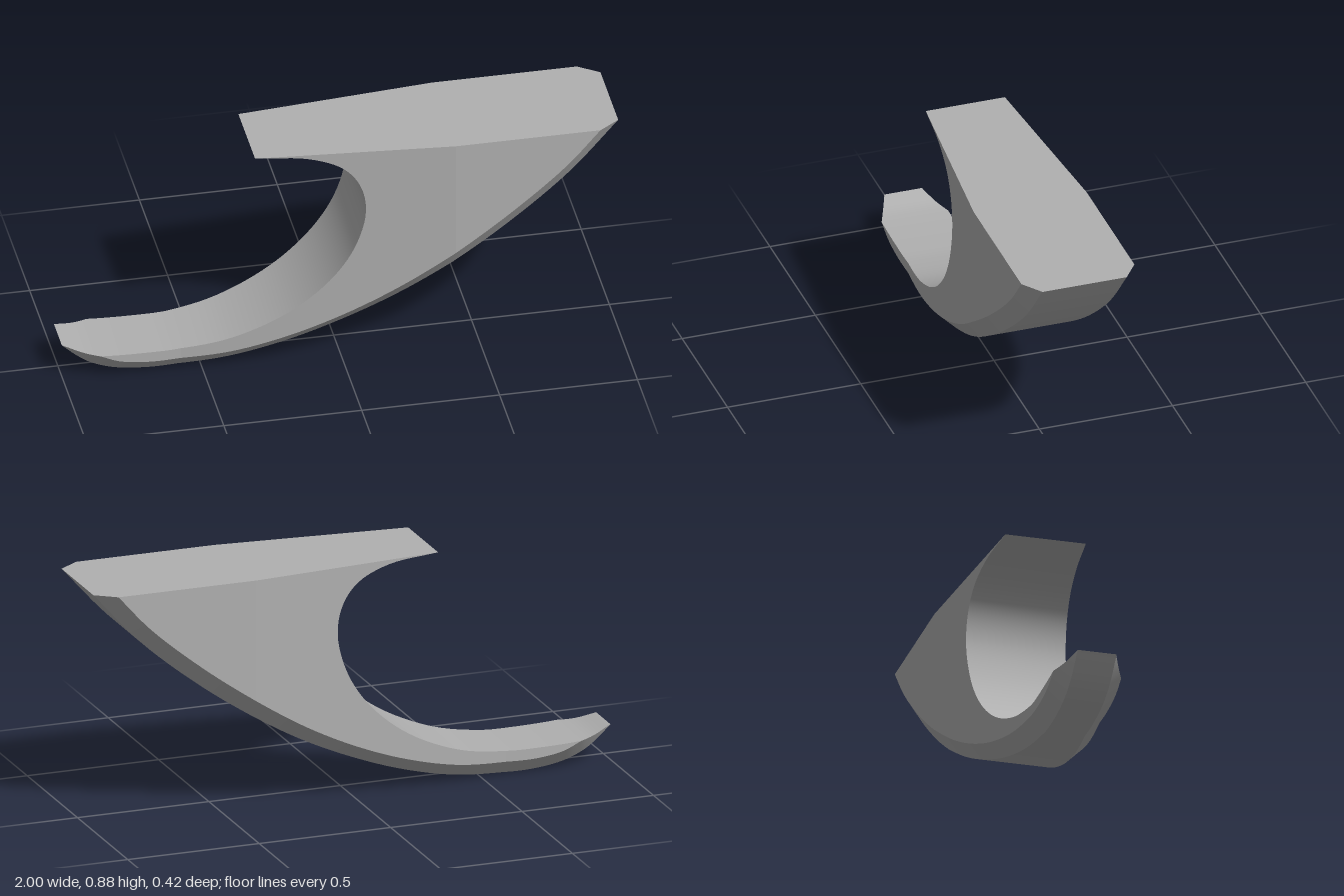
import * as THREE from 'three';

const STEPS = 6;   // samples per control segment
const TOP = 0.883; // height of the flat top

// Smooth curve through [x, y] points, keeping every control point as a sample
function sample(points) {
  const curve = new THREE.CatmullRomCurve3(points.map(([x, y]) => new THREE.Vector3(x, y, 0)), false, 'centripetal');
  return curve.getPoints((points.length - 1) * STEPS);
}

// Half width of the body along x, with the nose tapering in
function halfWidth(x) {
  if (x < -0.87) return THREE.MathUtils.mapLinear(x, -1, -0.87, 0.07, 0.125);
  return THREE.MathUtils.lerp(0.125, 0.212, THREE.MathUtils.clamp((x + 0.58) / 0.98, 0, 1));
}
const soleHalfWidth = (x) => THREE.MathUtils.lerp(0.072, 0.158, THREE.MathUtils.clamp((x + 0.58) / 0.98, 0, 1));

// Surface between two rows of points
function strip(a, b) {
  const position = [], index = [];
  a.forEach((p, i) => {
    position.push(p.x, p.y, p.z, b[i].x, b[i].y, b[i].z);
    if (i) {
      const k = 2 * i;
      index.push(k - 2, k, k + 1, k - 2, k + 1, k - 1);
    }
  });
  const g = new THREE.BufferGeometry();
  g.setAttribute('position', new THREE.Float32BufferAttribute(position, 3));
  g.setIndex(index);
  g.computeVertexNormals();
  return g;
}

// Flat wall piece, pushed out to the body width on one side
function wall(outline, side) {
  const g = new THREE.ShapeGeometry(new THREE.Shape(outline.map((p) => new THREE.Vector2(p.x, p.y))));
  const p = g.attributes.position;
  for (let i = 0; i < p.count; i++) p.setZ(i, side * halfWidth(p.getX(i)));
  if (side < 0) g.setIndex(Array.from(g.index.array).reverse());
  g.computeVertexNormals();
  return g;
}

export function createModel() {
  const group = new THREE.Group();
  group.name = 'hookedBracket';
  const grey = new THREE.MeshStandardMaterial({ color: 0xb0b0b0, side: THREE.DoubleSide });
  grey.name = 'grey';
  const add = (name, geometry) => {
    const mesh = new THREE.Mesh(geometry, grey);
    mesh.name = name;
    group.add(mesh);
  };

  // Profile curves, from the nose to the top
  const inner = sample([[-1, 0.132], [-0.93, 0.11], [-0.87, 0.102], [-0.7, 0.096], [-0.58, 0.099], [-0.4, 0.13],
    [-0.2, 0.22], [-0.05, 0.345], [0.04, 0.48], [0.08, 0.63], [0.06, 0.74], [0, 0.816], [-0.12, 0.866], [-0.315, TOP]]);
  const edge = sample([[-0.87, 0.102], [-0.8, 0.072], [-0.7, 0.057], [-0.58, 0.058], [-0.4, 0.073], [-0.2, 0.123],
    [0, 0.2], [0.2, 0.302], [0.4, 0.43], [0.6, 0.575], [0.8, 0.745], [0.925, TOP]]);
  const sole = sample([[-1, 0.132], [-0.95, 0.086], [-0.9, 0.05], [-0.82, 0.018], [-0.7, 0.001], [-0.58, 0.002],
    [-0.4, 0.02], [-0.2, 0.07], [0, 0.145], [0.2, 0.24], [0.4, 0.36], [0.6, 0.5], [0.82, 0.685], [1, TOP]]);

  const spread = (row, width, side) => row.map((p) => new THREE.Vector3(p.x, p.y, side * width(p.x)));
  const seam = [...inner.slice(0, 2 * STEPS), ...edge]; // upper line of the bevel

  add('sole', strip(spread(sole, soleHalfWidth, -1), spread(sole, soleHalfWidth, 1)));
  add('innerCurve', strip(spread(inner, halfWidth, 1), spread(inner, halfWidth, -1)));

  // Flat top with clipped corners
  const topRow = (side) => [[-0.315, halfWidth(-0.315)], [0.4, 0.212], [0.925, 0.212], [1, 0.158]]
    .map(([x, z]) => new THREE.Vector3(x, TOP, side * z));
  add('top', strip(topRow(1), topRow(-1)));

  // Walls, split where the width changes, and the bevels below them
  const nose = 3 * STEPS, bend = 8 * STEPS, innerNose = 4 * STEPS;
  const corner = new THREE.Vector3(0.4, TOP, 0);
  const outlines = {
    Nose: [...edge.slice(0, nose + 1), ...inner.slice(2 * STEPS + 1, innerNose + 1).reverse()],
    Middle: [...edge.slice(nose, bend + 1), corner, ...inner.slice(innerNose).reverse()],
    Rear: [...edge.slice(bend), corner],
  };
  for (const side of [1, -1]) {
    const prefix = side > 0 ? 'front' : 'back';
    for (const [part, outline] of Object.entries(outlines)) add(prefix + part + 'Wall', wall(outline, side));
    const low = spread(sole, soleHalfWidth, side), high = spread(seam, halfWidth, side);
    add(prefix + 'Bevel', side > 0 ? strip(low, high) : strip(high, low));
  }
  return group;
}
